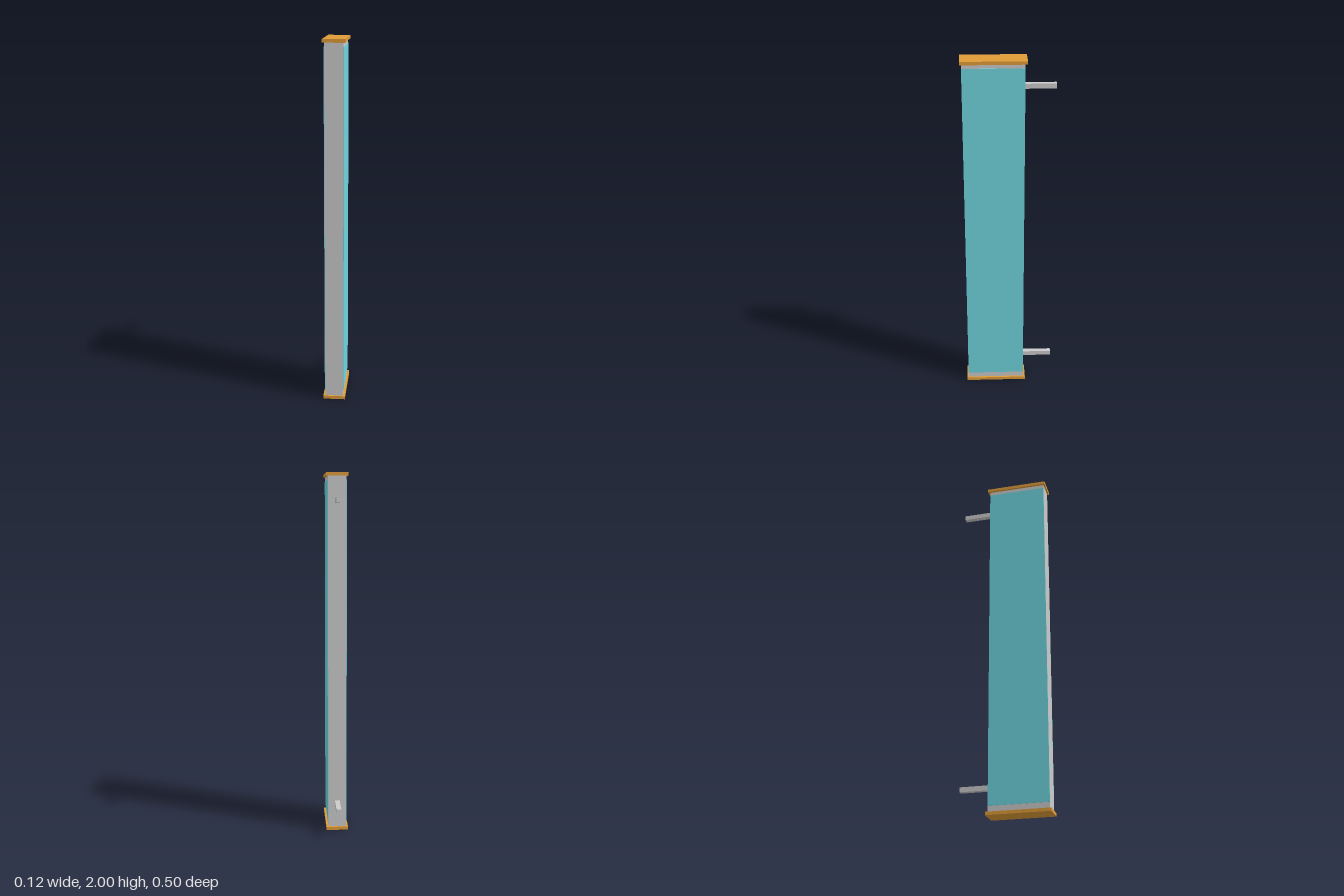
import * as THREE from 'three';

const grey = new THREE.MeshStandardMaterial({ color: 0xcccccc });
const orange = new THREE.MeshStandardMaterial({ color: 0xe09c38 });
const cyan = new THREE.MeshStandardMaterial({ color: 0x70d6e0 });

// Box given by its lower and upper limits on each axis
function box(name, material, [x0, x1], [y0, y1], [z0, z1]) {
  const mesh = new THREE.Mesh(new THREE.BoxGeometry(x1 - x0, y1 - y0, z1 - z0), material);
  mesh.name = name;
  mesh.position.set((x0 + x1) / 2, (y0 + y1) / 2, (z0 + z1) / 2);
  return mesh;
}

export function createModel() {
  const model = new THREE.Group();
  model.name = 'signPanel';
  const front = 0.243, back = -0.086;

  // Upright case
  model.add(box('case', grey, [-0.05, 0.05], [0.018, 1.982], [back, front]));

  // Coloured face on each broad side, slightly proud of the case
  model.add(box('leftFace', cyan, [0.05, 0.053], [0.05, 1.96], [back, front]));
  model.add(box('rightFace', cyan, [-0.053, -0.05], [0.05, 1.96], [back, front]));

  // Overhanging end caps
  model.add(box('bottomCap', orange, [-0.061, 0.061], [0, 0.018], [-0.098, 0.252]));
  model.add(box('topCap', orange, [-0.061, 0.061], [1.982, 2], [-0.098, 0.252]));

  // Square mounting arms reaching backwards
  for (const [name, y] of [['lowerArm', 0.157], ['upperArm', 1.851]]) {
    model.add(box(name, grey, [-0.0135, 0.0135], [y - 0.0135, y + 0.0135], [-0.252, back]));
  }
  return model;
}
